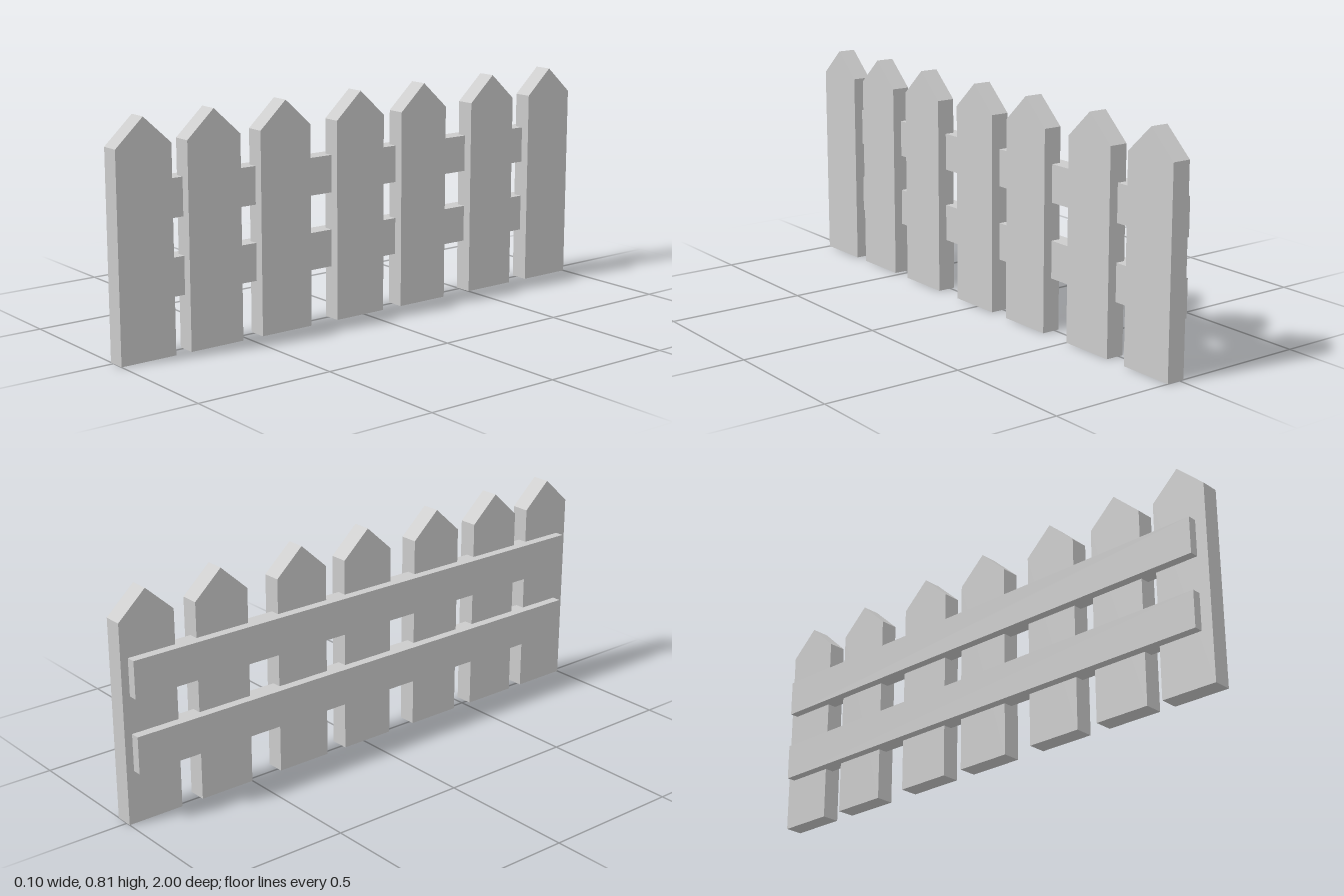
import * as THREE from 'three';

export function createModel() {
  const fence = new THREE.Group();
  fence.name = 'picketFence';
  const material = new THREE.MeshStandardMaterial({ color: 0xcccccc, flatShading: true });

  const thickness = 0.067;
  const halfWidth = 0.104;
  const shoulder = 0.713;
  const peak = 0.808;

  // Pointed board outline, extruded through its thickness and turned to face +x
  const outline = new THREE.Shape([
    new THREE.Vector2(-halfWidth, 0),
    new THREE.Vector2(halfWidth, 0),
    new THREE.Vector2(halfWidth, shoulder),
    new THREE.Vector2(0, peak),
    new THREE.Vector2(-halfWidth, shoulder),
  ]);
  const picketGeometry = new THREE.ExtrudeGeometry(outline, { depth: thickness, bevelEnabled: false });
  picketGeometry.rotateY(Math.PI / 2);

  // Unevenly spaced pickets
  [0.896, 0.628, 0.339, 0.017, -0.273, -0.605, -0.896].forEach((z, i) => {
    const picket = new THREE.Mesh(picketGeometry, material);
    picket.name = `picket${i + 1}`;
    picket.position.set(0.05 - thickness, 0, z);
    fence.add(picket);
  });

  // Two horizontal rails, let into the backs of the pickets
  const railGeometry = new THREE.BoxGeometry(thickness, 0.133, 1.93);
  [['lowerRail', 0.256], ['upperRail', 0.522]].forEach(([name, y]) => {
    const rail = new THREE.Mesh(railGeometry, material);
    rail.name = name;
    rail.position.set(-0.05 + thickness / 2, y, -0.007);
    fence.add(rail);
  });

  return fence;
}
